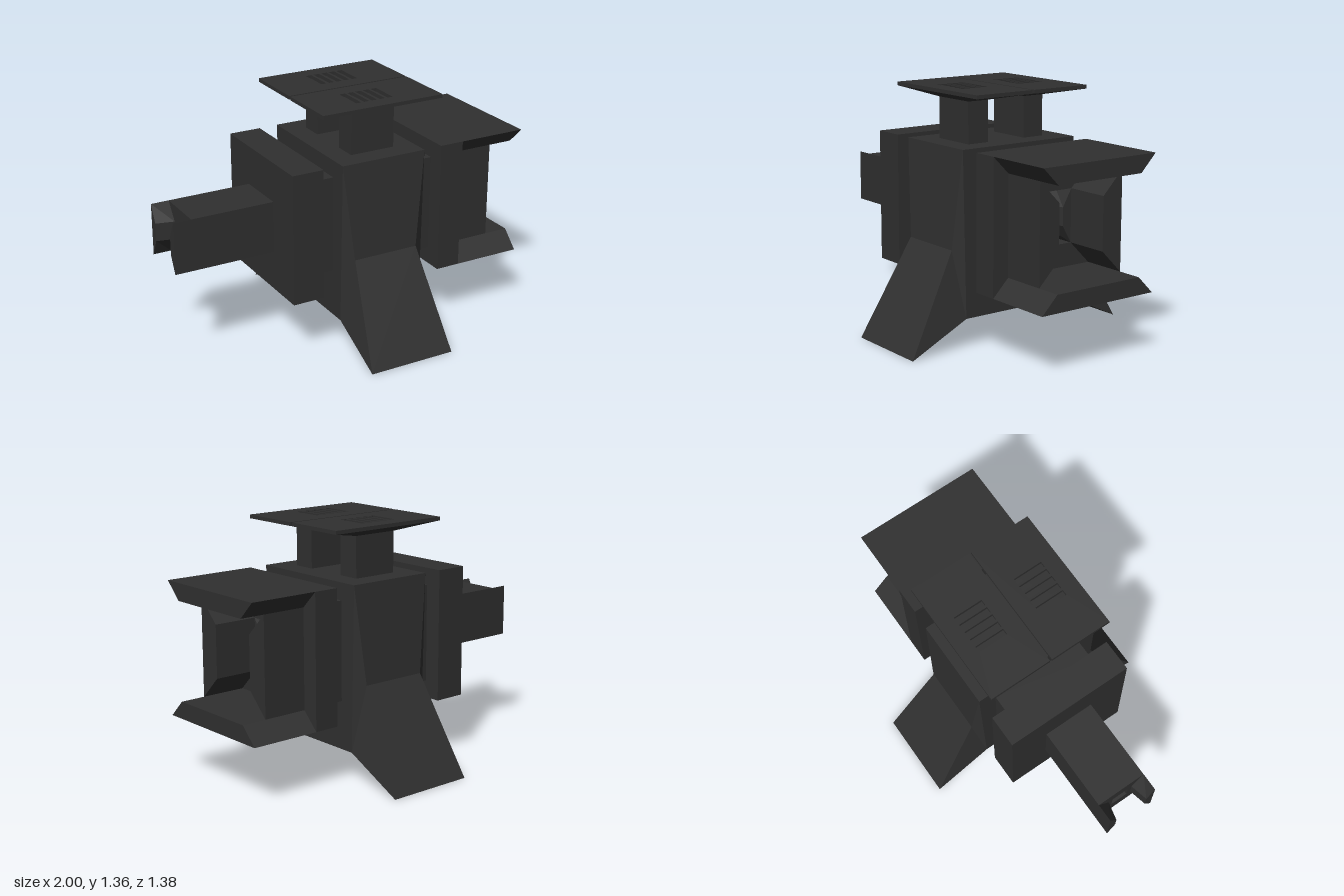
import * as THREE from 'three';

const AXIS_Y = 0.7; // height of the square bore running along x

export function createModel() {
  const model = new THREE.Group();
  model.name = 'model';
  const charcoal = new THREE.MeshStandardMaterial({ color: 0x303030 });
  charcoal.name = 'charcoal';

  const add = (name, geometry) => {
    const mesh = new THREE.Mesh(geometry, charcoal);
    mesh.name = name;
    model.add(mesh);
    return mesh;
  };

  // Flat-shaded solid from a list of convex faces
  const solid = (faces) => {
    const pos = [];
    for (const f of faces)
      for (let i = 1; i < f.length - 1; i++) pos.push(...f[0], ...f[i], ...f[i + 1]);
    const g = new THREE.BufferGeometry();
    g.setAttribute('position', new THREE.Float32BufferAttribute(pos, 3));
    g.computeVertexNormals();
    return g;
  };

  // Solid between two matching loops, both counter-clockwise seen from b's side
  const loft = (a, b) => {
    const faces = [[...a].reverse(), b];
    a.forEach((p, i) => {
      const j = (i + 1) % a.length;
      faces.push([p, a[j], b[j], b[i]]);
    });
    return solid(faces);
  };

  const squarePoints = (r) => [[-r, -r], [r, -r], [r, r], [-r, r]].map(([x, y]) => new THREE.Vector2(x, y + AXIS_Y));

  // Outline with a square bore, extruded along x
  const bored = (name, x0, x1, outline, inner) => {
    const shape = new THREE.Shape(outline);
    shape.holes.push(new THREE.Path(squarePoints(inner)));
    const g = new THREE.ExtrudeGeometry(shape, { depth: x1 - x0, bevelEnabled: false });
    g.rotateY(Math.PI / 2).translate(x0, 0, 0);
    add(name, g);
  };

  // Mitred bar on one side of the bore; quarter 0 = +z, 1 = -y, 2 = -z, 3 = +y
  const bar = (name, quarter, x0, x1, outer, inner0, inner1 = inner0, innerHalf = inner0) => {
    const loop = (x, inner) =>
      [[-innerHalf, inner], [innerHalf, inner], [outer, outer], [-outer, outer]].map(([y, z]) => {
        for (let k = 0; k < quarter; k++) [y, z] = [-z, y];
        return [x, y + AXIS_Y, z];
      });
    add(name, loft(loop(x0, inner0), loop(x1, inner1)));
  };

  // Central body and collars
  bored('body', -0.14, 0.36, [[-0.35, 0.165], [0.35, 0.165], [0.37, 1.065], [-0.37, 1.065]].map((p) => new THREE.Vector2(...p)), 0.05);
  bored('rightCollar', -0.25, -0.14, squarePoints(0.27), 0.05);
  bored('leftCollar', 0.36, 0.47, squarePoints(0.27), 0.05);

  // Splayed legs, pinched at the waist
  const legFaces = () => {
    const pair = (inset, y, z) => [[-0.14 + inset, y, z], [0.36 - inset, y, z]];
    const [t, t2] = pair(0, 1.065, 0.37);
    const [w, w2] = pair(0.06, 0.53, 0.4);
    const [f, f2] = pair(0, 0, 0.69);
    const [b, b2] = pair(0, 0.165, 0.35);
    return [[w, w2, t2, t], [f, f2, w2, w], [b, b2, f2, f], [t, b, w], [w, b, f], [t2, w2, b2], [w2, f2, b2]];
  };
  add('frontLeg', solid(legFaces()));
  add('backLeg', solid(legFaces().map((f) => f.map(([x, y, z]) => [x, y, -z]).reverse())));

  // Right block and barrel with a forked muzzle
  bored('rightBlock', -0.43, -0.25, squarePoints(0.365), 0.05);
  bored('barrel', -0.9, -0.43, squarePoints(0.145), 0.05);
  for (const q of [0, 2]) bar('muzzleProng', q, -1, -0.9, 0.145, 0.098, 0.075, 0.05);

  // Left block with nested lips, fins and inner prongs
  bored('leftBlock', 0.47, 0.61, squarePoints(0.365), 0.145);
  for (const q of [1, 3]) bar('lip', q, 0.61, 1, 0.365, 0.27);
  for (const q of [0, 2]) {
    bar('fin', q, 0.61, 0.86, 0.27, 0.145);
    bar('innerProng', q, 0.47, 0.61, 0.145, 0.05, 0.09, 0.05);
  }

  // Two posts carrying flared, slotted plates
  const rect = (x0, x1, z0, z1, y) => [[x0, y, z1], [x1, y, z1], [x1, y, z0], [x0, y, z0]];
  for (const [side, s] of [['front', 1], ['back', -1]]) {
    const span = (a, b) => (s > 0 ? [a, b] : [-b, -a]);
    const post = span(0.12, 0.248);
    const plate = span(0.006, 0.362);
    const slot = span(0.1, 0.27);
    add(side + 'Post', loft(rect(-0.02, 0.24, ...post, 1.06), rect(-0.02, 0.24, ...post, 1.295)));
    add(side + 'PlateFlare', loft(rect(-0.02, 0.24, ...post, 1.29), rect(-0.25, 0.47, ...plate, 1.335)));

    // Slotted top plate, drawn in x and -z then laid flat
    const flat = (x0, x1, [z0, z1]) => [[x0, -z1], [x1, -z1], [x1, -z0], [x0, -z0]].map((p) => new THREE.Vector2(...p));
    const shape = new THREE.Shape(flat(-0.25, 0.47, plate));
    for (let i = 0; i < 5; i++) {
      const x = -0.008 + i * 0.048;
      shape.holes.push(new THREE.Path(flat(x, x + 0.034, slot)));
    }
    const g = new THREE.ExtrudeGeometry(shape, { depth: 0.02, bevelEnabled: false });
    g.rotateX(-Math.PI / 2).translate(0, 1.335, 0);
    add(side + 'Plate', g);
  }
  return model;
}
